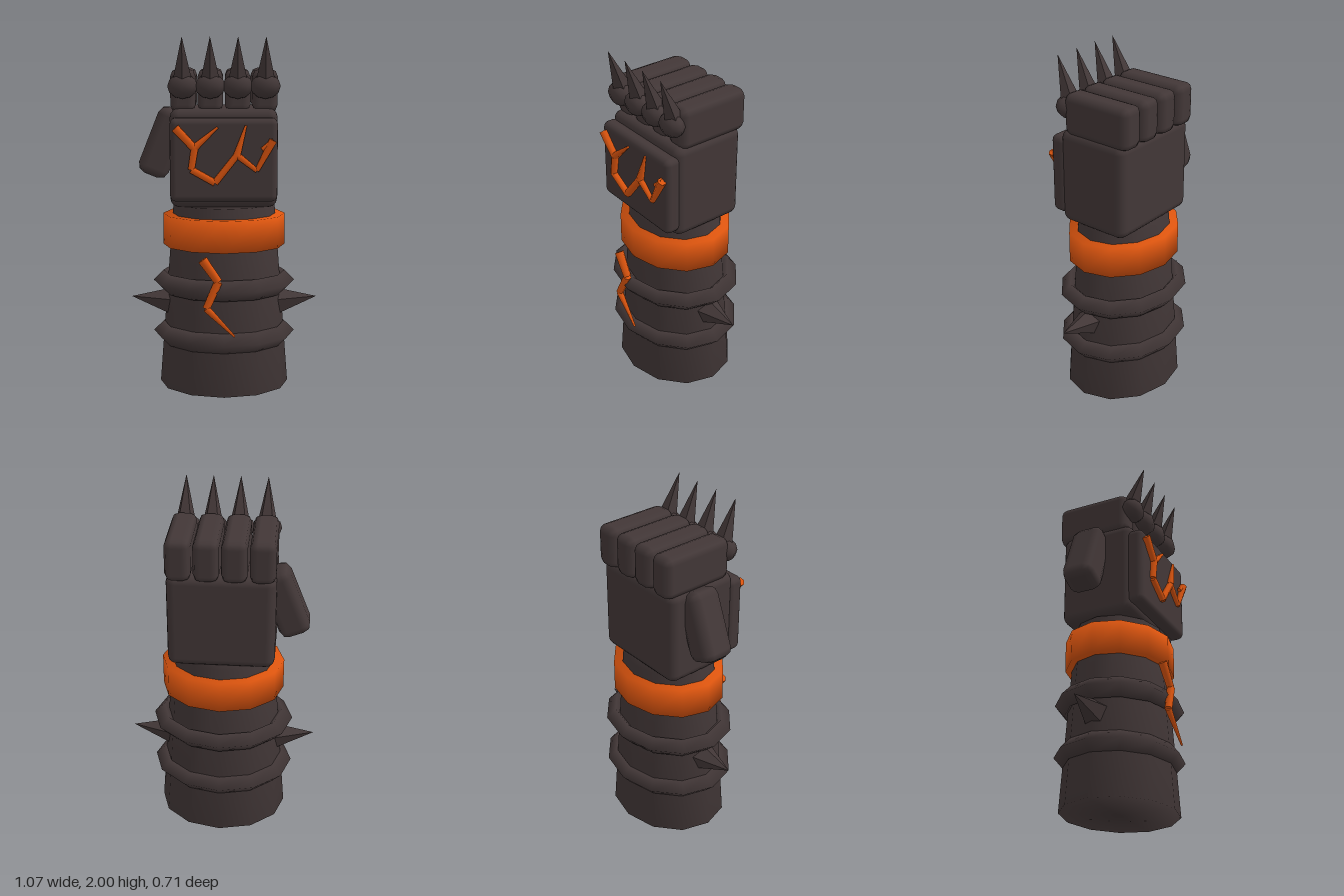
import * as THREE from 'three';
import { RoundedBoxGeometry } from 'three/addons/geometries/RoundedBoxGeometry.js';
import { mergeVertices } from 'three/addons/utils/BufferGeometryUtils.js';

export function createModel() {
  const model = new THREE.Group();
  model.name = 'stoneFist';
  const stone = new THREE.MeshStandardMaterial({ color: 0x423737 });
  stone.name = 'dark stone';
  const lava = new THREE.MeshStandardMaterial({ color: 0xdb540e });
  lava.name = 'lava orange';
  const V = (x, y, z) => new THREE.Vector3(x, y, z);
  const UP = V(0, 1, 0);

  function add(name, geometry, material, x = 0, y = 0, z = 0, parent = model) {
    const mesh = new THREE.Mesh(geometry, material);
    mesh.name = name;
    mesh.position.set(x, y, z);
    parent.add(mesh);
    return mesh;
  }

  // Share normals across all edges for the soft shading of the arm
  function soften(geometry) {
    geometry.deleteAttribute('normal');
    geometry.deleteAttribute('uv');
    const merged = mergeVertices(geometry, 1e-4);
    merged.computeVertexNormals();
    return merged;
  }

  // Tapered round bar or cone between two points
  function bar(name, a, b, ra, rb, sides, material, flat, parent = model) {
    let g = new THREE.CylinderGeometry(rb, ra, a.distanceTo(b), sides);
    if (flat) {
      g = g.toNonIndexed();
      g.computeVertexNormals();
    }
    const mid = a.clone().add(b).multiplyScalar(0.5);
    const mesh = add(name, g, material, mid.x, mid.y, mid.z, parent);
    mesh.quaternion.setFromUnitVectors(UP, b.clone().sub(a).normalize());
    return mesh;
  }

  // Forearm, slightly flattened front to back
  const arm = new THREE.Group();
  arm.name = 'arm';
  arm.scale.z = 0.855;
  arm.position.z = -0.004;
  model.add(arm);
  add('forearm', soften(new THREE.CylinderGeometry(0.29, 0.373, 1.06, 12)), stone, 0, 0.53, 0, arm);
  add('cuff', soften(new THREE.CylinderGeometry(0.35, 0.35, 0.18, 12)), lava, 0, 0.91, 0, arm);
  for (const y of [0.305, 0.607]) {
    const ring = new THREE.TorusGeometry(0.35, 0.059, 4, 12).rotateX(Math.PI / 2);
    add('armRing', ring, stone, 0, y, 0, arm);
  }

  // Side spikes
  for (const s of [-1, 1]) {
    const g = new THREE.ConeGeometry(0.09, 0.26, 5).toNonIndexed();
    g.computeVertexNormals();
    // one base corner points up once the cone lies on its side
    g.rotateY(s > 0 ? -Math.PI / 2 : Math.PI / 2).rotateZ(-s * (Math.PI / 2 - 0.12));
    add('sideSpike', g, stone, s * 0.408, 0.492, -0.004);
  }

  // Palm and raised plate on the back of the hand
  add('palm', new RoundedBoxGeometry(0.595, 0.55, 0.44, 2, 0.05), stone, -0.002, 1.335, -0.01);
  add('handPlate', new RoundedBoxGeometry(0.59, 0.46, 0.1, 2, 0.035), stone, -0.002, 1.333, 0.228);

  // Fingers with knuckles and spikes
  for (let i = 0; i < 4; i++) {
    const x = -0.227 + i * 0.151;
    add('finger', new RoundedBoxGeometry(0.14, 0.24, 0.435, 1, 0.042), stone, x, 1.705, -0.042);
    const knuckle = add('knuckle', new THREE.SphereGeometry(1, 8, 6), stone, x, 1.732, 0.19);
    knuckle.scale.set(0.083, 0.069, 0.064);
    bar('knuckleSpike', V(x, 1.74, 0.175), V(x, 2, 0.265), 0.062, 0, 5, stone, true);
  }

  // Thumb
  const thumb = add('thumb', new RoundedBoxGeometry(0.18, 0.4, 0.19, 1, 0.05), stone, -0.345, 1.405, -0.045);
  thumb.rotation.z = -0.38;

  // Glowing cracks: each point is x, y, z, radius
  function crack(name, points) {
    const group = new THREE.Group();
    group.name = name;
    model.add(group);
    for (let i = 0; i < points.length - 1; i++) {
      const [a, b] = [points[i], points[i + 1]];
      bar('crackSegment', V(a[0], a[1], a[2]), V(b[0], b[1], b[2]), a[3], b[3], 6, lava, false, group);
    }
  }
  crack('handCrack', [
    [-0.265, 1.512, 0.288, 0.026], [-0.16, 1.4, 0.288, 0.023], [-0.178, 1.285, 0.288, 0.021],
    [-0.05, 1.213, 0.288, 0.021], [0.07, 1.365, 0.288, 0.02], [0.178, 1.28, 0.288, 0.014],
    [0.265, 1.445, 0.288, 0.025],
  ]);
  crack('handCrackBranch', [[-0.16, 1.405, 0.288, 0.023], [-0.035, 1.515, 0.288, 0.007]]);
  crack('handCrackBranch', [[0.07, 1.365, 0.288, 0.023], [0.118, 1.525, 0.288, 0.007]]);
  crack('handCrackBranch', [[0.205, 1.395, 0.288, 0.012], [0.27, 1.44, 0.285, 0.02]]);
  crack('armCrack', [
    [-0.118, 0.79, 0.312, 0.028], [-0.032, 0.667, 0.32, 0.023],
    [-0.098, 0.52, 0.332, 0.021], [0.058, 0.362, 0.34, 0.006],
  ]);

  return model;
}
